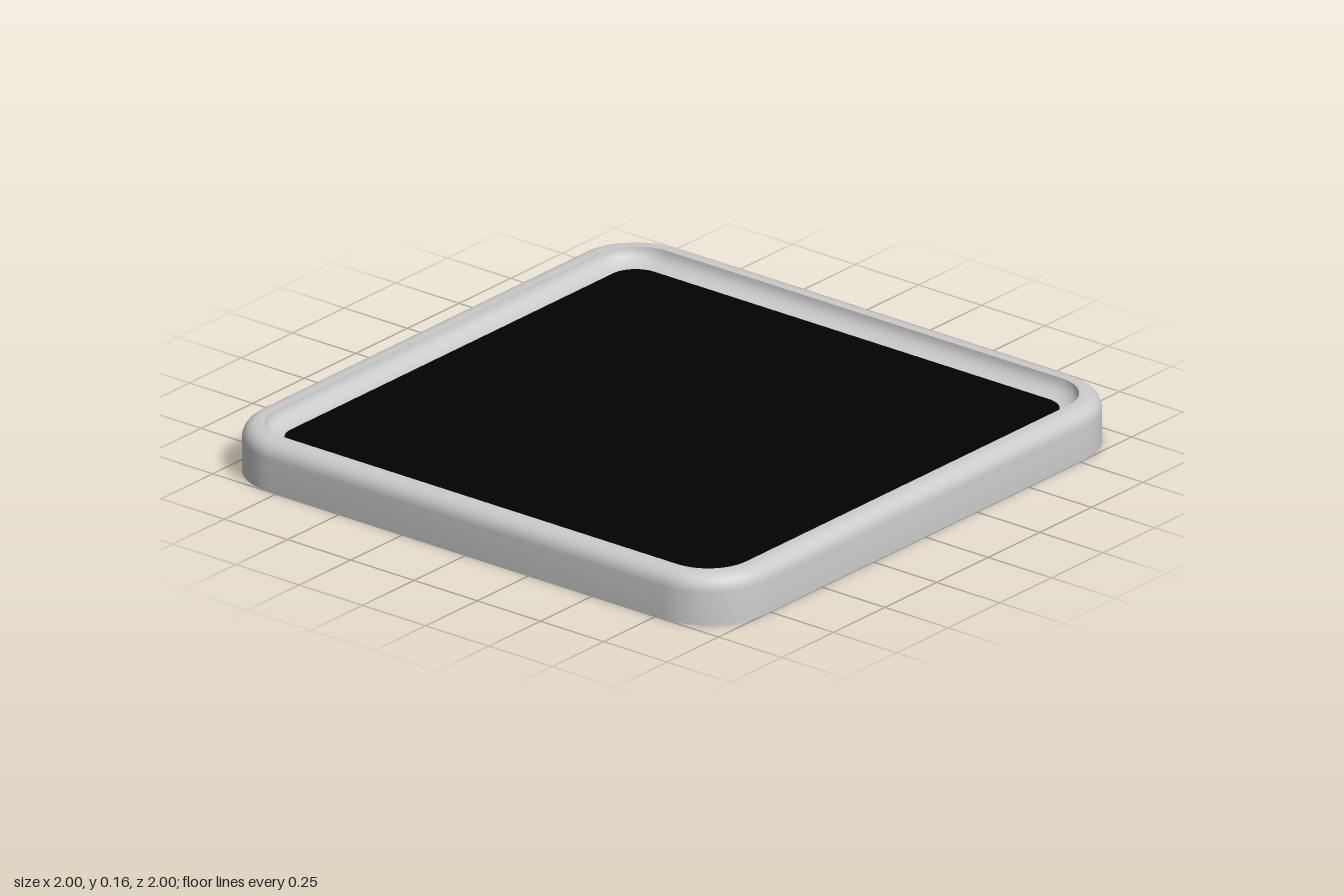
import * as THREE from 'three';
import { toCreasedNormals } from 'three/addons/utils/BufferGeometryUtils.js';

const HALF = 1, CORNER = 0.22, HEIGHT = 0.16, FLOOR = 0.11;
const LIP = 0.07, COVE_WIDTH = 0.06, FILLET = 0.05;
const CORNER_STEPS = 12, ARC_STEPS = 6;

// Points [x, z] of a rounded square, counter-clockwise seen from above
function roundedSquare(inset) {
  const radius = CORNER - inset, centre = HALF - CORNER, points = [];
  for (let q = 0; q < 4; q++) {
    const turn = q * Math.PI / 2 + Math.PI / 4;
    const cx = Math.sign(Math.cos(turn)) * centre, cy = Math.sign(Math.sin(turn)) * centre;
    for (let i = 0; i <= CORNER_STEPS; i++) {
      const a = (q + i / CORNER_STEPS) * Math.PI / 2;
      points.push([cx + radius * Math.cos(a), -(cy + radius * Math.sin(a))]);
    }
  }
  return points;
}

// Sweep a profile of [inset, y] pairs around the rounded square
function sweep(profile) {
  const positions = [], index = [];
  const n = 4 * (CORNER_STEPS + 1);
  for (const [inset, y] of profile)
    for (const [x, z] of roundedSquare(inset)) positions.push(x, y, z);
  for (let r = 0; r < profile.length - 1; r++)
    for (let i = 0; i < n; i++) {
      const a = r * n + i, b = r * n + (i + 1) % n;
      index.push(a, b, b + n, a, b + n, a + n);
    }
  const geometry = new THREE.BufferGeometry();
  geometry.setAttribute('position', new THREE.Float32BufferAttribute(positions, 3));
  geometry.setIndex(index);
  return toCreasedNormals(geometry, Math.PI / 6);
}

// Flat rounded square facing up or down
function panel(inset, y, up) {
  const shape = new THREE.Shape(roundedSquare(inset).map(([x, z]) => new THREE.Vector2(x, z)));
  return new THREE.ShapeGeometry(shape).rotateX(up ? -Math.PI / 2 : Math.PI / 2).translate(0, y, 0);
}

export function createModel() {
  const model = new THREE.Group();
  model.name = 'tray';
  const grey = new THREE.MeshStandardMaterial({ color: 0xcccccc });
  const black = new THREE.MeshStandardMaterial({ color: 0x020202 });
  const add = (name, geometry, material) => {
    const mesh = new THREE.Mesh(geometry, material);
    mesh.name = name;
    model.add(mesh);
  };

  // Rim: straight wall, rounded top edge, narrow flat lip, hollow cove down to the floor
  const profile = [[0, 0]];
  for (let i = 0; i <= ARC_STEPS; i++) {
    const a = i / ARC_STEPS * Math.PI / 2;
    profile.push([FILLET * (1 - Math.cos(a)), HEIGHT - FILLET * (1 - Math.sin(a))]);
  }
  for (let i = 0; i <= ARC_STEPS; i++) {
    const a = i / ARC_STEPS * Math.PI / 2;
    profile.push([LIP + COVE_WIDTH * (1 - Math.cos(a)), HEIGHT - (HEIGHT - FLOOR) * Math.sin(a)]);
  }
  add('rim', sweep(profile), grey);

  // Underside and dark inlaid surface
  add('underside', panel(0, 0, false), grey);
  add('inlay', panel(LIP + COVE_WIDTH, FLOOR, true), black);
  return model;
}
